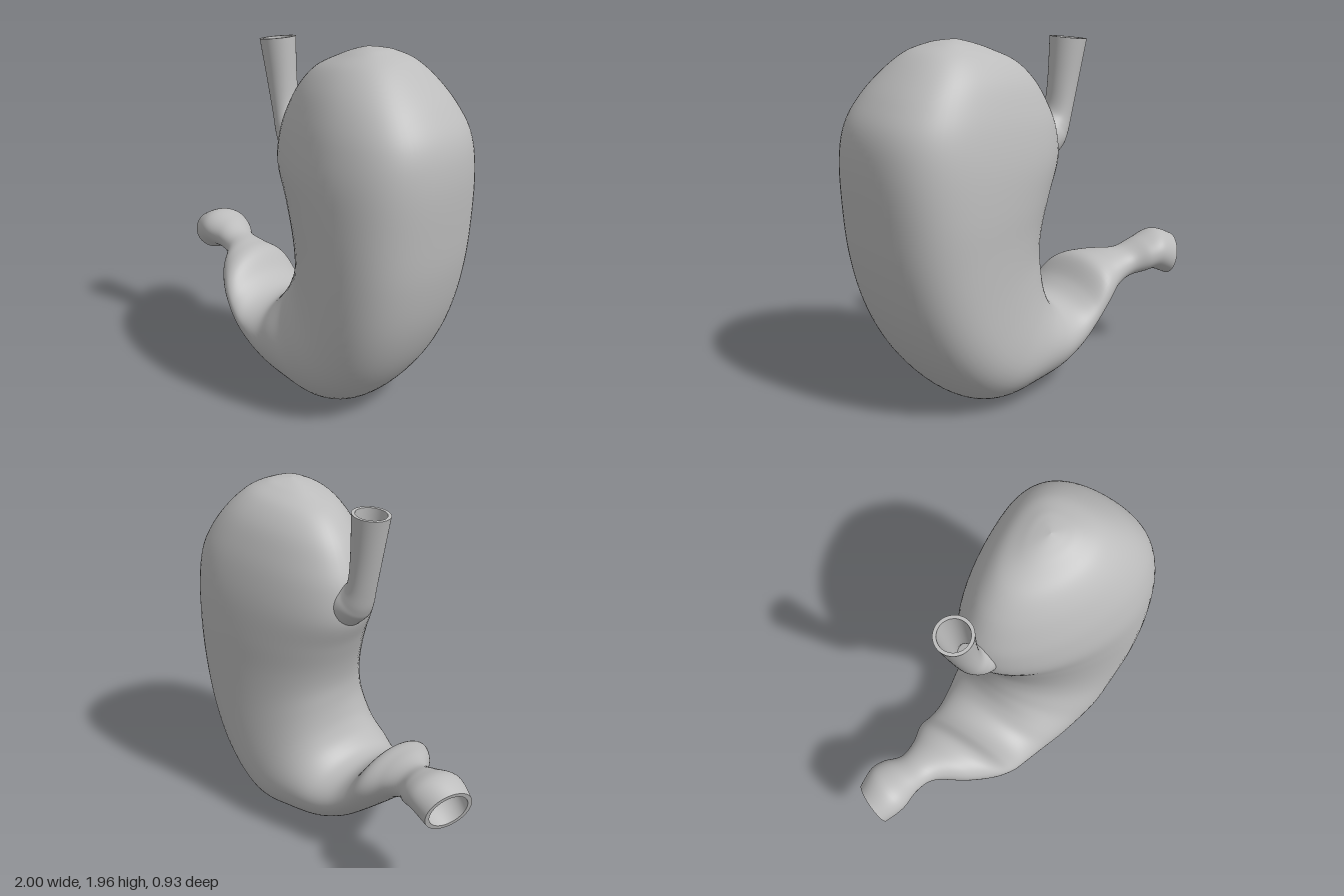
import * as THREE from 'three';

const SIDES = 64;
const { lerp, smoothstep } = THREE.MathUtils;

// Catmull-Rom blend of two neighbouring sections, field by field
function blend(list, i, t) {
  const at = (k) => list[Math.min(Math.max(k, 0), list.length - 1)];
  const [p, q, r, s] = [at(i - 1), at(i), at(i + 1), at(i + 2)];
  return q.map((v, k) => 0.5 * (2 * v + (r[k] - p[k]) * t
    + (2 * p[k] - 5 * v + 4 * r[k] - s[k]) * t * t
    + (3 * v - p[k] - 3 * r[k] + s[k]) * t * t * t));
}

// Loft through sections: [inner x, inner y, outer x, outer y, z centre, half depth]
function loft(sections, steps) {
  const rings = [];
  for (let i = 0; i < sections.length - 1; i++) {
    for (let k = 0; k < steps; k++) rings.push(blend(sections, i, k / steps));
  }
  rings.push(sections[sections.length - 1]);

  const pos = [], index = [];
  rings.forEach(([ix, iy, ox, oy, zc, hz], i) => {
    const cx = (ix + ox) / 2, cy = (iy + oy) / 2;
    // The wide body is egg-shaped, its narrow edge set back; the outlet end is turned
    const fullness = smoothstep(cx, 0, 0.45);
    const turn = -0.4 * hz * smoothstep(-cx, 0.6, 0.95);
    for (let j = 0; j < SIDES; j++) {
      const a = (j / SIDES) * Math.PI * 2, c = Math.cos(a), s = Math.sin(a);
      const u = c - 0.3 * fullness * s * s;
      pos.push(cx + (ix - cx) * u + turn * s,
        cy + (iy - cy) * u,
        zc + hz * (s - 0.24 * fullness * Math.max(c, 0) ** 2));
      if (i === rings.length - 1) continue;
      const n = (j + 1) % SIDES, r0 = i * SIDES, r1 = r0 + SIDES;
      index.push(r0 + j, r0 + n, r1 + n, r0 + j, r1 + n, r1 + j);
    }
  });
  const g = new THREE.BufferGeometry();
  g.setAttribute('position', new THREE.Float32BufferAttribute(pos, 3));
  g.setIndex(index);
  g.computeVertexNormals();
  return g;
}

// Same section shrunk about its centre
function shrink([ix, iy, ox, oy, zc, hz], f) {
  const cx = (ix + ox) / 2, cy = (iy + oy) / 2;
  return [lerp(cx, ix, f), lerp(cy, iy, f), lerp(cx, ox, f), lerp(cy, oy, f), zc, hz * f];
}

export function createModel() {
  const group = new THREE.Group();
  const tissue = new THREE.MeshStandardMaterial({ color: 0xbcbcbc });
  const add = (name, sections, steps) => {
    const mesh = new THREE.Mesh(loft(sections, steps), tissue);
    mesh.name = name;
    group.add(mesh);
  };

  // Outlet, curved lower part, main body and dome
  const outlet = [
    [-0.975, 0.71, -0.915, 0.48, -0.29, 0.12],
    [-0.86, 0.757, -0.81, 0.527, -0.265, 0.143],
    [-0.74, 0.725, -0.72, 0.522, -0.25, 0.13],
    [-0.63, 0.675, -0.63, 0.495, -0.2, 0.122],
  ];
  const bend = [
    [-0.50, 0.665, -0.53, 0.43, -0.125, 0.2],
    [-0.385, 0.64, -0.41, 0.325, -0.09, 0.275],
    [-0.29, 0.525, -0.28, 0.215, -0.07, 0.305],
    [-0.20, 0.47, -0.16, 0.125, -0.065, 0.322],
    [-0.11, 0.475, 0.00, 0.055, -0.06, 0.35],
    [-0.045, 0.535, 0.20, 0.018, -0.05, 0.385],
  ];
  const trunk = [
    [-0.005, 0.62, 0.42, 0.015, -0.04, 0.415],
    [0.013, 0.70, 0.60, 0.11, -0.025, 0.435],
    [0.02, 0.79, 0.77, 0.31, -0.015, 0.445],
    [0.015, 0.89, 0.89, 0.56, -0.005, 0.455],
    [-0.015, 1.01, 0.96, 0.84, 0, 0.462],
    [-0.07, 1.16, 0.99, 1.12, 0, 0.464],
    [-0.135, 1.32, 1.00, 1.38, 0, 0.452],
  ];
  const dome = [
    [-0.125, 1.48, 0.972, 1.56, -0.005, 0.42],
    [-0.075, 1.61, 0.89, 1.70, -0.012, 0.373],
    [0.00, 1.735, 0.78, 1.82, -0.022, 0.307],
    [0.105, 1.838, 0.67, 1.908, -0.03, 0.222],
    [0.25, 1.908, 0.565, 1.95, -0.038, 0.128],
    [0.345, 1.944, 0.505, 1.962, -0.04, 0.065],
    [0.43, 1.967, 0.43, 1.967, -0.04, 0],
  ];
  add('stomachBody', [...outlet, ...bend, ...trunk, ...dome], 6);

  // Inlet tube rising from the body, its foot sunk into it
  const inlet = [
    [0.00, 1.20, 0.22, 1.42, -0.11, 0.14],
    [-0.165, 1.325, -0.01, 1.50, -0.115, 0.122],
    [-0.215, 1.39, -0.085, 1.53, -0.12, 0.1],
    [-0.25, 1.50, -0.12, 1.58, -0.125, 0.085],
    [-0.30, 1.70, -0.137, 1.72, -0.128, 0.086],
    [-0.35, 1.92, -0.15, 1.943, -0.13, 0.1],
  ];
  add('inletTube', inlet, 8);

  // Flat rims and hollow bores, each closed by a floor deep inside
  const top = inlet[5], mouth = outlet[0], wall = 0.82;
  const inletBore = inlet.slice(2).reverse().map((s) => shrink(s, wall));
  add('inletRim', [top, shrink(top, wall)], 1);
  add('inletBore', inletBore, 6);
  add('inletFloor', [inletBore[3], shrink(inletBore[3], 0)], 1);

  const outletBore = outlet.slice().reverse().map((s) => shrink(s, wall));
  add('outletRim', [shrink(mouth, wall), mouth], 1);
  add('outletBore', outletBore, 6);
  add('outletFloor', [shrink(outletBore[0], 0), outletBore[0]], 1);

  return group;
}
